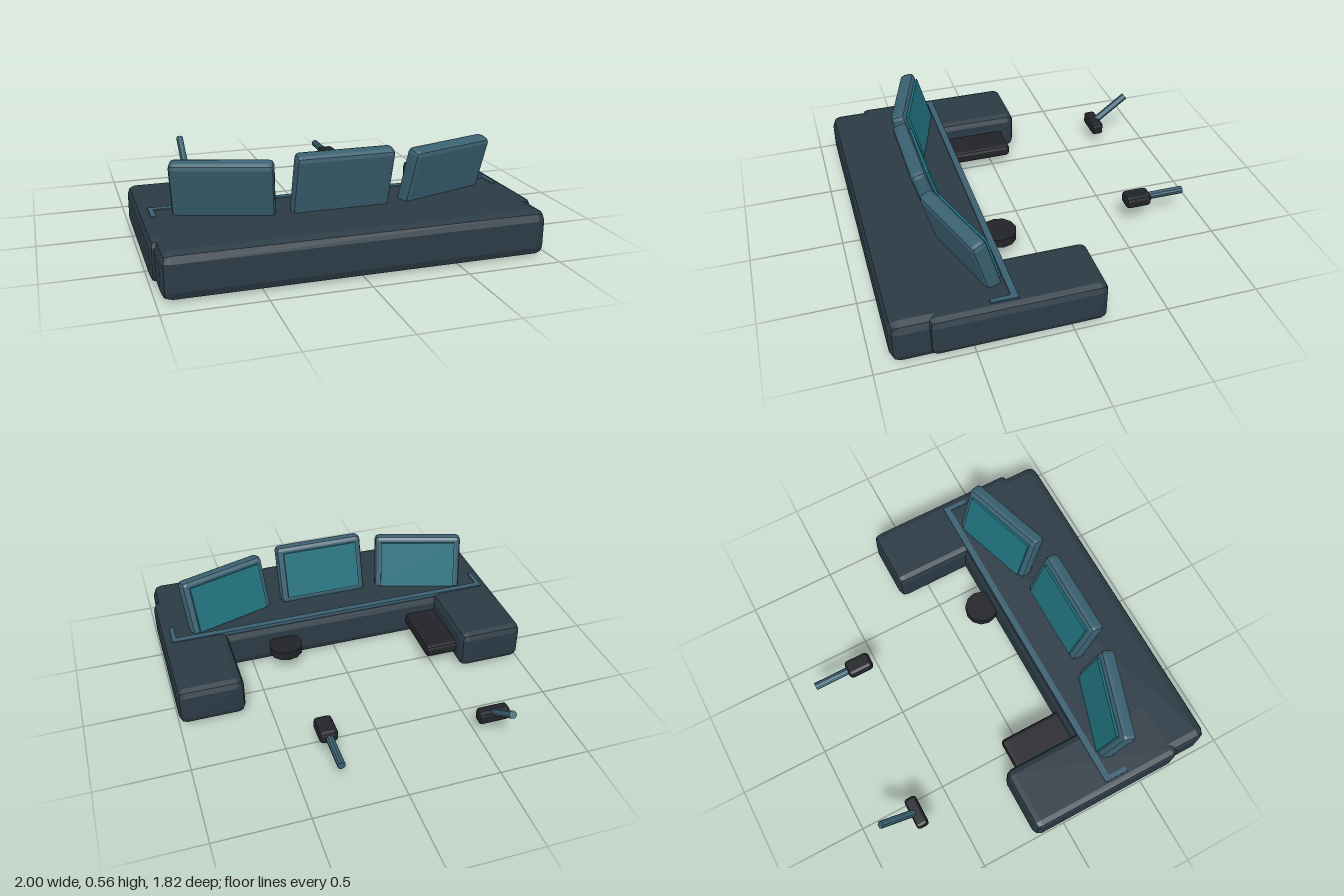
import * as THREE from 'three';
import { RoundedBoxGeometry } from 'three/addons/geometries/RoundedBoxGeometry.js';

const mat = (color) => new THREE.MeshStandardMaterial({ color, flatShading: true });

export function createModel() {
  const root = new THREE.Group();
  const hull = mat(0x2b3a45);
  const frame = mat(0x3a6070);
  const glass = mat(0x20707c);
  const dark = mat(0x222328);

  const add = (parent, name, geometry, material, x = 0, y = 0, z = 0) => {
    const mesh = new THREE.Mesh(geometry, material);
    mesh.name = name;
    mesh.position.set(x, y, z);
    parent.add(mesh);
    return mesh;
  };
  // bevelled box with a two-facet edge
  const bevelBox = (w, h, d, r) => new RoundedBoxGeometry(w, h, d, 1, r);
  // round bar between two points in the plane of constant x
  const bar = (parent, name, x, y0, z0, y1, z1, r) => {
    const length = Math.hypot(y1 - y0, z1 - z0);
    const mesh = add(parent, name, new THREE.CylinderGeometry(r, r, length, 10), frame,
      x, (y0 + y1) / 2, (z0 + z1) / 2);
    mesh.rotation.x = Math.atan2(z1 - z0, y1 - y0);
  };

  // main console and the two side consoles
  add(root, 'mainConsole', bevelBox(1.95, 0.24, 0.655, 0.05), hull, 0, 0.12, 0.58);
  for (const side of [-1, 1]) {
    const label = side > 0 ? 'left' : 'right';
    add(root, label + 'SideConsole', bevelBox(0.365, 0.222, 0.9, 0.04), hull, side * 0.815, 0.129, 0.27);
    add(root, label + 'TrimEnd', new THREE.BoxGeometry(0.025, 0.02, 0.13), frame, side * 0.932, 0.237, 0.345);
  }
  // light trim along the operator's edge
  add(root, 'edgeTrim', new THREE.BoxGeometry(1.89, 0.02, 0.035), frame, 0, 0.237, 0.288);

  // three displays leaning away from the operator, outer ones turned inward
  for (const side of [-1, 0, 1]) {
    const display = new THREE.Group();
    display.name = ['rightDisplay', 'centreDisplay', 'leftDisplay'][side + 1];
    display.rotation.order = 'YXZ';
    display.rotation.set(0.28, side * 0.31, 0);
    display.position.set(side * 0.594, side ? 0.36 : 0.387, side ? 0.467 : 0.55);
    add(display, 'displayCase', bevelBox(0.515, 0.345, 0.085, 0.025), frame);
    add(display, 'displayScreen', new THREE.BoxGeometry(0.44, 0.27, 0.02), glass, 0, 0, -0.047);
    root.add(display);
  }

  // low control box and round knob on the operator's side
  add(root, 'controlBox', bevelBox(0.2, 0.07, 0.42, 0.02), dark, -0.55, 0.11, 0.11);
  add(root, 'controlKnob', new THREE.CylinderGeometry(0.095, 0.095, 0.05, 12), dark, 0.315, 0.125, 0.19);

  // lever with a cross grip and raised stem
  const lever = new THREE.Group();
  lever.name = 'crossLever';
  add(lever, 'crossGrip', bevelBox(0.175, 0.075, 0.07, 0.018), dark, -0.583, 0.123, -0.698);
  bar(lever, 'leverStem', -0.583, 0.13, -0.695, 0.287, -0.9, 0.021);
  root.add(lever);

  // lever with a level stem
  const throttle = new THREE.Group();
  throttle.name = 'straightLever';
  add(throttle, 'straightGrip', bevelBox(0.1, 0.07, 0.148, 0.022), dark, 0.312, 0.184, -0.608);
  add(throttle, 'gripPad', new THREE.BoxGeometry(0.05, 0.012, 0.07), glass, 0.312, 0.146, -0.598);
  bar(throttle, 'leverStem', 0.312, 0.184, -0.64, 0.184, -0.88, 0.021);
  root.add(throttle);

  return root;
}
